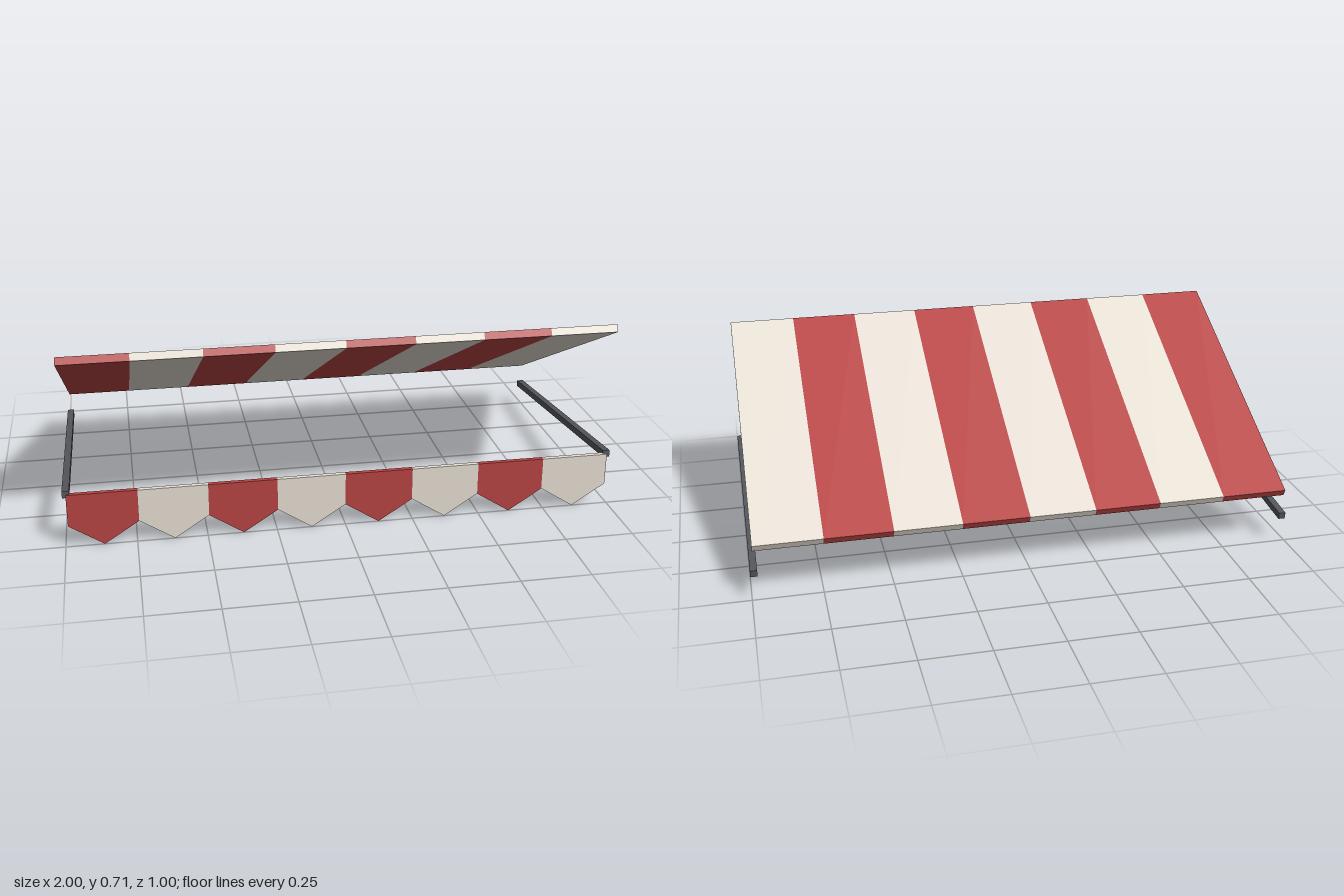
import * as THREE from 'three';

const red = new THREE.MeshStandardMaterial({ color: 0xb84343 });
red.name = 'red cloth';
const cream = new THREE.MeshStandardMaterial({ color: 0xe8e0d5 });
cream.name = 'cream cloth';
const metal = new THREE.MeshStandardMaterial({ color: 0x54575d });
metal.name = 'grey metal';

const STRIPES = 8;
const HALF = 0.9875;
const W = (2 * HALF) / STRIPES;

// Box running along the side-plane line from (y0, z0) at the front to (y1, z1) at the back
function slopedBox(name, material, x, width, thickness, [y0, z0], [y1, z1]) {
  const length = Math.hypot(y1 - y0, z1 - z0);
  const mesh = new THREE.Mesh(new THREE.BoxGeometry(width, thickness, length), material);
  mesh.position.set(x, (y0 + y1) / 2, (z0 + z1) / 2);
  mesh.rotation.x = -Math.atan2(y0 - y1, z0 - z1);
  mesh.name = name;
  return mesh;
}

// Pointed flap of the hanging valance
function flapGeometry() {
  const shape = new THREE.Shape();
  shape.moveTo(-W / 2, 0.2);
  shape.lineTo(-W / 2, 0.08);
  shape.lineTo(0, 0);
  shape.lineTo(W / 2, 0.08);
  shape.lineTo(W / 2, 0.2);
  shape.closePath();
  return new THREE.ExtrudeGeometry(shape, { depth: 0.018, bevelEnabled: false });
}

export function createModel() {
  const model = new THREE.Group();
  model.name = 'awning';
  const canopy = new THREE.Group();
  canopy.name = 'canopy';
  const valance = new THREE.Group();
  valance.name = 'valance';
  const flap = flapGeometry();

  // Alternating canopy stripes, each with a matching flap
  for (let i = 0; i < STRIPES; i++) {
    const material = i % 2 ? cream : red;
    const x = -HALF + W * (i + 0.5);
    canopy.add(slopedBox('canopyStripe', material, x, W, 0.028, [0.6925, 0.4935], [0.1975, -0.4935]));
    const piece = new THREE.Mesh(flap, material);
    piece.name = 'valanceFlap';
    piece.position.set(x, 0, 0.482);
    valance.add(piece);
  }
  model.add(canopy, valance);

  // Side support arms
  for (const [name, s] of [['leftArm', 1], ['rightArm', -1]]) {
    model.add(slopedBox(name, metal, s * 0.9875, 0.025, 0.025, [0.2, 0.493], [0.1, -0.493]));
  }
  return model;
}
